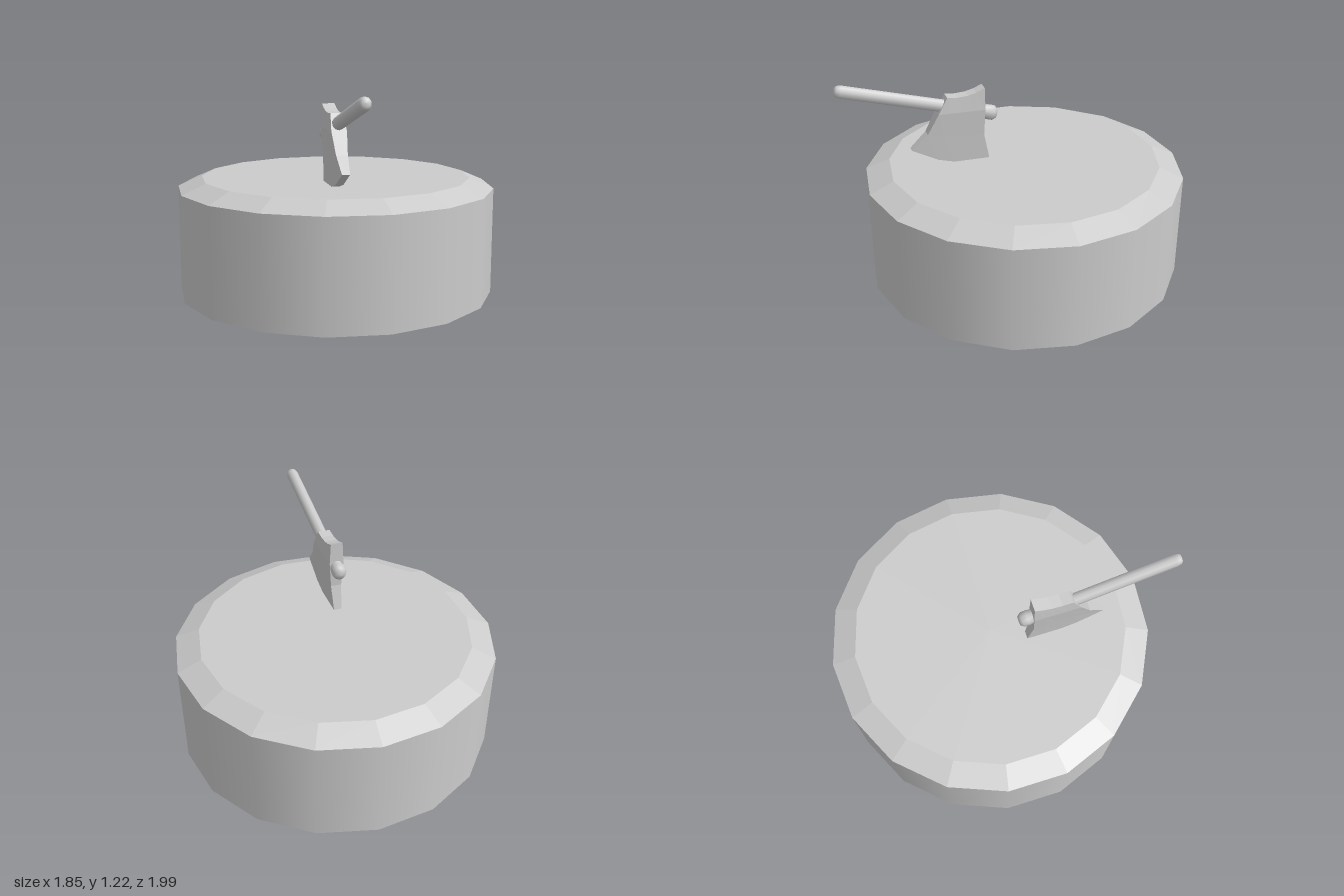
import * as THREE from 'three';

const SIDES = 17;

function material(options = {}) {
  return new THREE.MeshStandardMaterial({ color: 0xcccccc, ...options });
}

function addMesh(parent, name, geometry, mat) {
  const mesh = new THREE.Mesh(geometry, mat);
  mesh.name = name;
  parent.add(mesh);
  return mesh;
}

// Chopping block: open-bottomed shell with a bevelled rim
function createStump() {
  const stump = new THREE.Group();
  stump.name = 'stump';
  const R = 0.935, r = 0.795, rimY = 0.625, topY = 0.685;
  const smooth = material({ side: THREE.DoubleSide });
  const flat = material({ side: THREE.DoubleSide, flatShading: true });

  const bark = new THREE.CylinderGeometry(R, R, rimY, SIDES, 1, true, Math.PI / 2);
  addMesh(stump, 'bark', bark.translate(0, rimY / 2, 0), smooth);

  const bevel = new THREE.CylinderGeometry(r, R, topY - rimY, SIDES, 1, true, Math.PI / 2);
  addMesh(stump, 'bevelledRim', bevel.translate(0, (topY + rimY) / 2, 0), flat);

  const cut = new THREE.CircleGeometry(r, SIDES).rotateX(-Math.PI / 2);
  addMesh(stump, 'cutTop', cut.translate(0, topY, 0), flat);

  stump.position.set(-0.01, 0, -0.068);
  return stump;
}

// Axe head: rows of [z, y] points from front to back, lofted downward with a half width each
function createHeadGeometry() {
  const rows = [
    { w: 0.036, p: [[0.37, 1.095], [0.31, 1.09], [0.25, 1.095], [0.2, 1.108], [0.15, 1.13]] },
    { w: 0.043, p: [[0.425, 1.0], [0.35, 1.0], [0.28, 1.0], [0.21, 1.0], [0.15, 1.0]] },
    { w: 0.032, p: [[0.49, 0.88], [0.4, 0.86], [0.31, 0.85], [0.23, 0.84], [0.157, 0.84]] },
    { w: 0.022, p: [[0.585, 0.79], [0.43, 0.71], [0.335, 0.685], [0.22, 0.665], [0.12, 0.655]] },
  ];
  const positions = [], index = [];
  for (const { w, p } of rows) {
    for (const [z, y] of p) positions.push(w, y, z);
    for (const [z, y] of [...p].reverse()) positions.push(-w, y, z);
  }
  const n = 10;
  const quad = (a, b, c, d) => index.push(a, b, c, a, c, d);
  for (let i = 0; i < rows.length - 1; i++) {
    for (let j = 0; j < n; j++) {
      const a = i * n + j, b = i * n + (j + 1) % n;
      quad(a, a + n, b + n, b);
    }
  }
  // top and cutting edge
  const last = (rows.length - 1) * n;
  for (let k = 0; k < n / 2 - 1; k++) {
    quad(k, k + 1, n - 2 - k, n - 1 - k);
    quad(last + n - 1 - k, last + n - 2 - k, last + k + 1, last + k);
  }
  const geometry = new THREE.BufferGeometry();
  geometry.setAttribute('position', new THREE.Float32BufferAttribute(positions, 3));
  geometry.setIndex(index);
  geometry.computeVertexNormals();
  return geometry;
}

function createAxe() {
  const axe = new THREE.Group();
  axe.name = 'axe';
  addMesh(axe, 'axeHead', createHeadGeometry(), material({ flatShading: true }));

  // Handle: tapered shaft with a rounded knob at the back and a softened grip end
  const profile = [
    [0, 0], [0.03, 0.004], [0.046, 0.025], [0.046, 0.058], [0.038, 0.1],
    [0.038, 0.6], [0.038, 0.915], [0.032, 0.938], [0.02, 0.948], [0, 0.95],
  ].map(([x, y]) => new THREE.Vector2(x, y));
  const handle = addMesh(axe, 'handle', new THREE.LatheGeometry(profile, 10), material());
  handle.scale.x = 0.92;
  handle.rotation.x = 1.312;
  handle.position.set(0, 0.953, 0.073);

  axe.position.x = -0.1;
  return axe;
}

export function createModel() {
  const model = new THREE.Group();
  model.name = 'axeInStump';
  model.add(createStump(), createAxe());
  return model;
}
